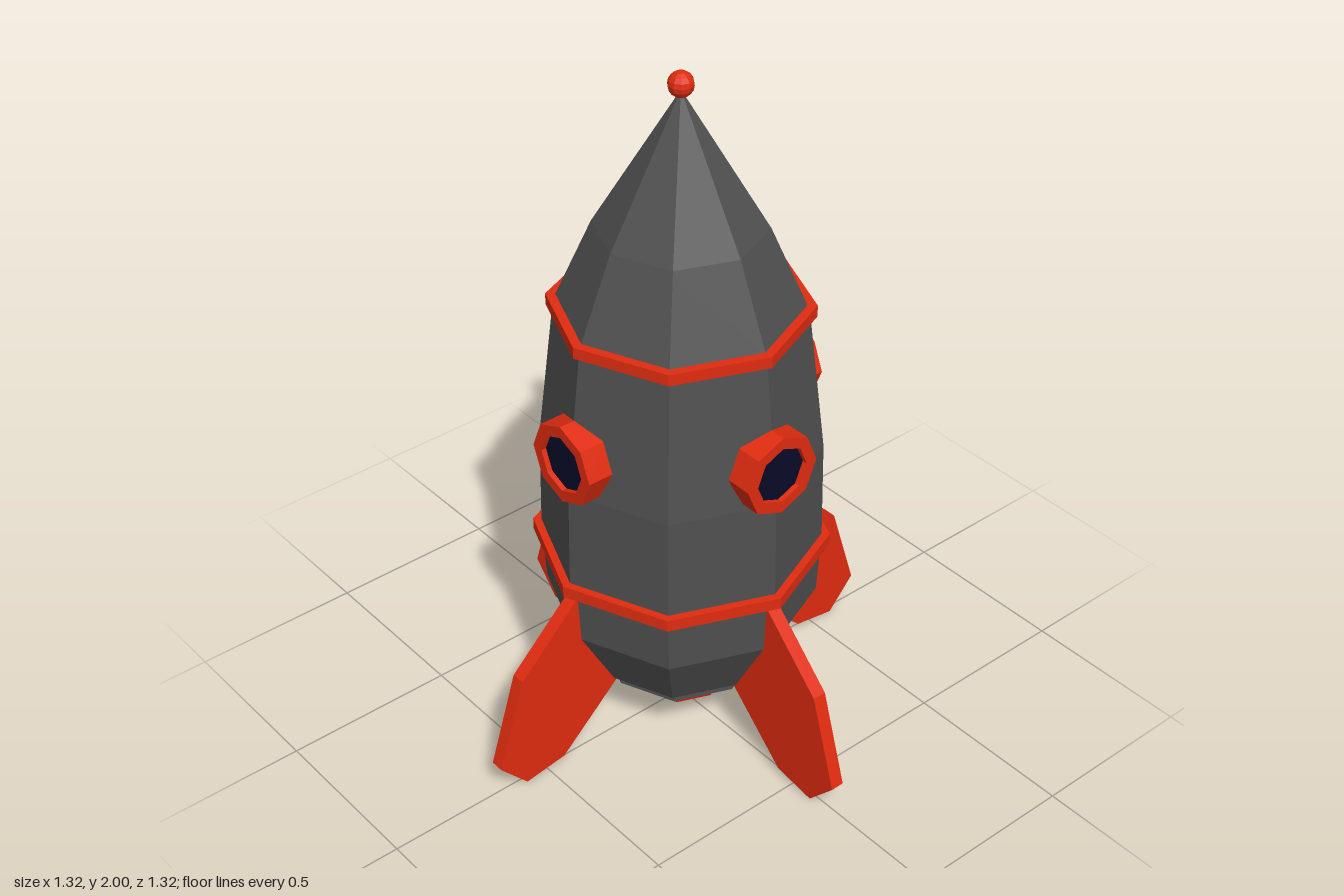
import * as THREE from 'three';

export function createModel() {
  const rocket = new THREE.Group();
  const paint = (color) => new THREE.MeshStandardMaterial({ color, flatShading: true });
  const red = paint(0xe02c10), grey = paint(0x505050), navy = paint(0x0a0a28), soot = paint(0x383838);

  const add = (parent, name, geometry, material) => {
    const mesh = new THREE.Mesh(geometry, material);
    mesh.name = name;
    parent.add(mesh);
    return mesh;
  };
  // Eight-sided turned shape; the outside profile runs upwards
  const turned = (points) => new THREE.LatheGeometry(points.map(([r, y]) => new THREE.Vector2(r, y)), 8);
  const band = (inner, outer, y0, y1) =>
    turned([[inner, y0], [outer, y0], [outer, y1], [inner, y1], [inner, y0]]);

  // Hull and nose cone
  add(rocket, 'hull', turned([
    [0, 0.21], [0.27, 0.21], [0.38, 0.41], [0.39, 0.59], [0.385, 0.9],
    [0.335, 1.33], [0.23, 1.57], [0, 1.95],
  ]), grey);
  add(rocket, 'lowerBand', band(0.36, 0.413, 0.57, 0.605), red);
  add(rocket, 'upperBand', band(0.3, 0.355, 1.312, 1.345), red);
  add(rocket, 'noseBall', new THREE.SphereGeometry(0.035, 10, 8), red).position.y = 1.965;

  // Engine collar, nozzle and its dark throat
  add(rocket, 'engineCollar', turned([[0, 0.155], [0.222, 0.155], [0.222, 0.215], [0, 0.215]]), grey);
  add(rocket, 'nozzle', turned([
    [0.088, 0.09], [0.088, 0.07], [0.13, 0.07], [0.165, 0.155], [0, 0.155],
  ]), red);
  const throat = add(rocket, 'nozzleThroat', new THREE.CircleGeometry(0.088, 8), soot);
  throat.rotation.x = Math.PI / 2;
  throat.position.y = 0.088;

  // Fin outline, extruded and centred on its thickness
  const finShape = new THREE.Shape([
    [0.25, 0.205], [0.445, 0.025], [0.575, 0.005], [0.66, 0.1], [0.575, 0.37], [0.385, 0.555], [0.3, 0.5],
  ].map(([x, y]) => new THREE.Vector2(x, y)));
  const finGeometry = new THREE.ExtrudeGeometry(finShape, { depth: 0.04, bevelEnabled: false });
  finGeometry.translate(0, 0, -0.02);

  // Porthole frame facing +z, with a recessed pane
  const frameGeometry = turned([[0.118, 0.33], [0.118, 0.405], [0.084, 0.405], [0.084, 0.388]]);
  frameGeometry.rotateX(Math.PI / 2);
  const paneGeometry = new THREE.CircleGeometry(0.084, 8);

  // One fin and one porthole on each of the four sides
  for (let i = 0; i < 4; i++) {
    const side = new THREE.Group();
    side.name = `side${i + 1}`;
    side.rotation.y = (i * Math.PI) / 2;
    add(side, 'fin', finGeometry, red);
    add(side, 'portholeFrame', frameGeometry, red).position.y = 1.005;
    add(side, 'portholePane', paneGeometry, navy).position.set(0, 1.005, 0.39);
    rocket.add(side);
  }
  return rocket;
}
